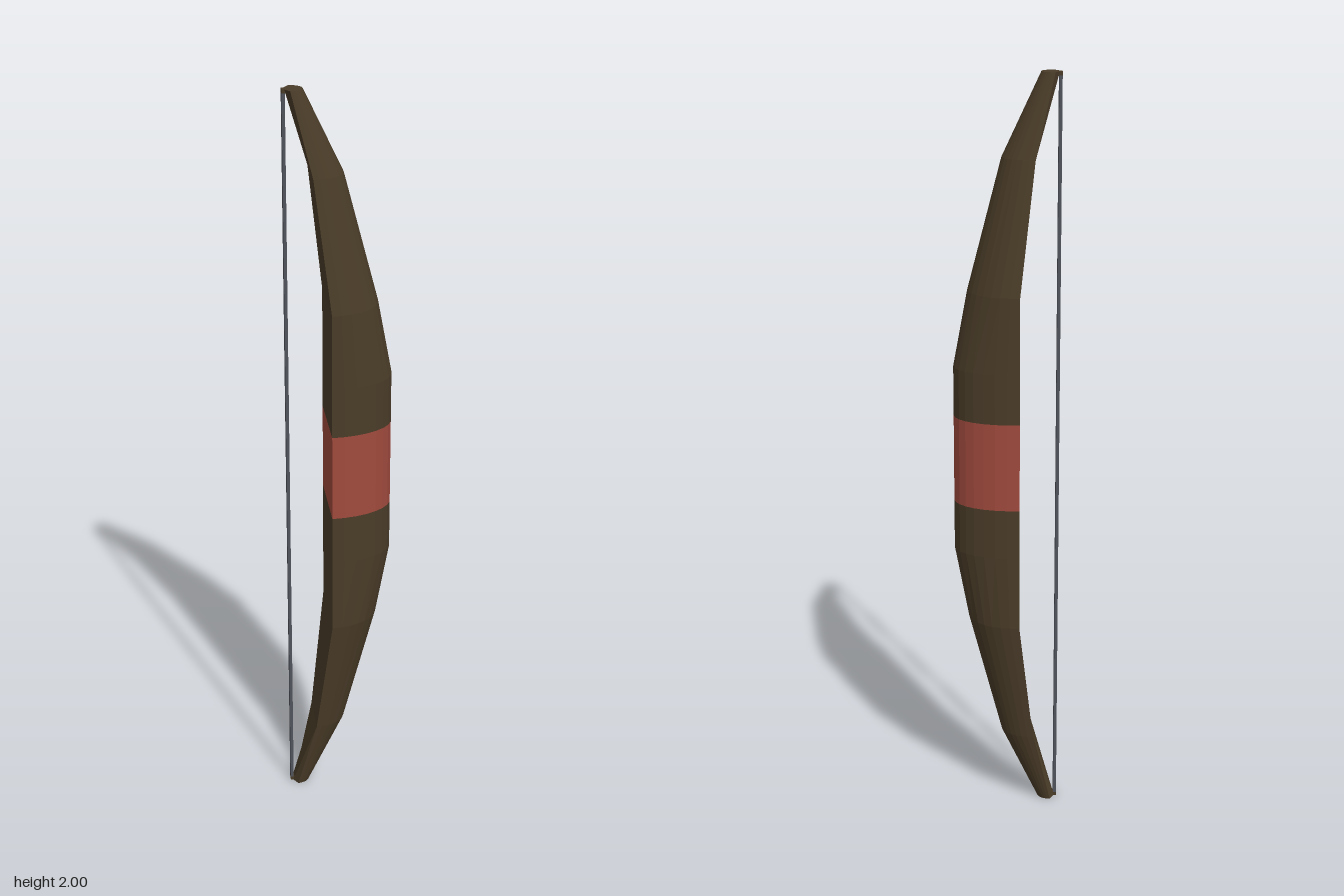
import * as THREE from 'three';

const SEG = 16;

// Cross-section: half-ellipse belly facing +x, back facing -x (ridge xr is the nock side)
function section([y, back, ridge, front, w]) {
  const pts = [];
  for (let i = 0; i <= SEG; i++) {
    const a = (i / SEG) * Math.PI;
    pts.push([back + (front - back) * Math.sin(a), y, w * Math.cos(a)]);
  }
  pts.push([ridge, y, -w * 0.35], [ridge, y, w * 0.35]);
  return pts;
}

// Skin over stacked sections, closed at both ends
function loft(levels) {
  const rings = levels.map(section);
  const n = rings[0].length;
  const pos = [];
  const tri = (a, b, c) => pos.push(...a, ...b, ...c);
  for (let k = 0; k < rings.length - 1; k++) {
    const lo = rings[k], hi = rings[k + 1];
    for (let i = 0; i < n; i++) {
      const j = (i + 1) % n;
      tri(lo[i], lo[j], hi[j]);
      tri(lo[i], hi[j], hi[i]);
    }
  }
  const bottom = rings[0], top = rings[rings.length - 1];
  for (let i = 1; i < n - 1; i++) {
    tri(top[0], top[i], top[i + 1]);
    tri(bottom[0], bottom[i + 1], bottom[i]);
  }
  const g = new THREE.BufferGeometry();
  g.setAttribute('position', new THREE.Float32BufferAttribute(pos, 3));
  g.computeVertexNormals();
  return g;
}

export function createModel() {
  const wood = new THREE.MeshStandardMaterial({ name: 'dark wood', color: 0x4a3c28, flatShading: true });
  const wrap = new THREE.MeshStandardMaterial({ name: 'red wrap', color: 0xa04a3d, flatShading: true });
  const cord = new THREE.MeshStandardMaterial({ name: 'grey cord', color: 0x50545c });

  const group = new THREE.Group();
  group.name = 'bow';
  const add = (name, geometry, material) => {
    const m = new THREE.Mesh(geometry, material);
    m.name = name;
    group.add(m);
    return m;
  };

  // y, back x, ridge x, front x, half width
  const upper = [
    [1.117, -0.03, -0.03, 0.137, 0.1],
    [1.25, -0.03, -0.03, 0.137, 0.1],
    [1.45, -0.03, -0.03, 0.1, 0.1],
    [1.79, -0.07, -0.07, 0.012, 0.062],
    [2, -0.12, -0.132, -0.087, 0.029],
  ];
  const lower = upper.map(([y, ...rest]) => [2 - y, ...rest]).reverse();

  add('upperLimb', loft(upper), wood);
  add('lowerLimb', loft(lower), wood);
  add('grip', loft([lower[lower.length - 1], upper[0]]), wrap);

  // Bowstring between two small nocks
  add('bowstring', new THREE.BoxGeometry(0.008, 1.98, 0.02), cord).position.set(-0.135, 1, 0);
  for (const [name, y] of [['upperNock', 1.995], ['lowerNock', 0.005]]) {
    add(name, new THREE.BoxGeometry(0.01, 0.01, 0.02), wood).position.set(-0.134, y, 0);
  }
  return group;
}
